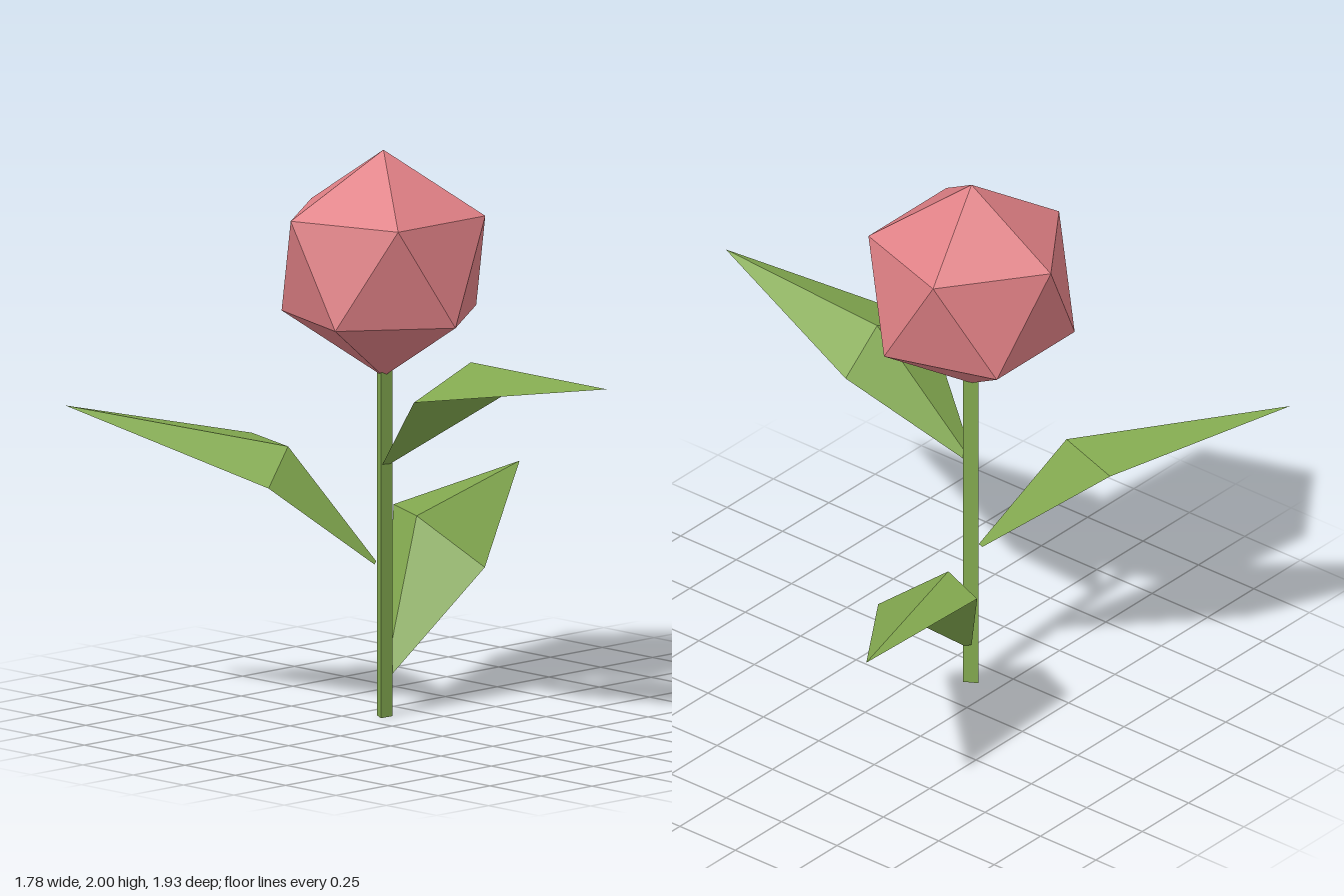
import * as THREE from 'three';

// Faceted leaf: small root triangle -> widest triangle (right, ridge, left) -> pointed tip
function leafGeometry({ root, ring, tip }) {
  const v = (p) => new THREE.Vector3(...p);
  const r = ring.map(v), t = v(tip), o = v(root);
  const centre = r.reduce((s, p) => s.add(p), new THREE.Vector3()).divideScalar(3);
  const b = r.map((p) => p.clone().sub(centre).multiplyScalar(0.08).add(o));
  const tris = [b[0], b[2], b[1]];
  for (let i = 0; i < 3; i++) {
    const j = (i + 1) % 3;
    tris.push(b[i], b[j], r[j], b[i], r[j], r[i], t, r[i], r[j]);
  }
  const geo = new THREE.BufferGeometry().setFromPoints(tris);
  geo.computeVertexNormals();
  return geo;
}

export function createModel() {
  const green = new THREE.MeshStandardMaterial({ color: 0x82a84f, flatShading: true });
  green.name = 'leaf green';
  const pink = new THREE.MeshStandardMaterial({ color: 0xde7f84, flatShading: true });
  pink.name = 'blossom pink';

  const group = new THREE.Group();
  group.name = 'flower';
  const add = (name, geo, mat) => {
    const mesh = new THREE.Mesh(geo, mat);
    mesh.name = name;
    group.add(mesh);
    return mesh;
  };
  const X = -0.152, Z = -0.144;

  // Three-sided stem, flat side to the front
  const stem = new THREE.CylinderGeometry(0.032, 0.032, 1.22, 3);
  stem.rotateY(Math.PI);
  add('stem', stem, green).position.set(X, 0.61, Z);

  // Blossom: icosahedron standing on one corner
  const blossom = new THREE.IcosahedronGeometry(0.4, 0);
  blossom.rotateX(Math.atan((1 + Math.sqrt(5)) / 2));
  add('blossom', blossom, pink).position.set(X, 1.6, Z);

  // Leaves
  add('frontLeaf', leafGeometry({
    root: [X, 0.895, -0.13],
    ring: [[0.06, 1.165, 0.247], [-0.11, 1.3, 0.247], [-0.385, 1.195, 0.247]],
    tip: [X, 1.312, 0.965],
  }), green);
  add('leftLeaf', leafGeometry({
    root: [-0.13, 0.155, -0.147],
    ring: [[0.24, 0.645, -0.497], [0.16, 0.643, -0.3], [0.273, 0.477, -0.078]],
    tip: [0.89, 0.703, -0.54],
  }), green);
  add('backLeaf', leafGeometry({
    root: [-0.172, 0.545, -0.167],
    ring: [[-0.555, 0.838, -0.3], [-0.388, 0.953, -0.375], [-0.297, 0.95, -0.648]],
    tip: [-0.89, 1.083, -0.965],
  }), green);

  return group;
}
